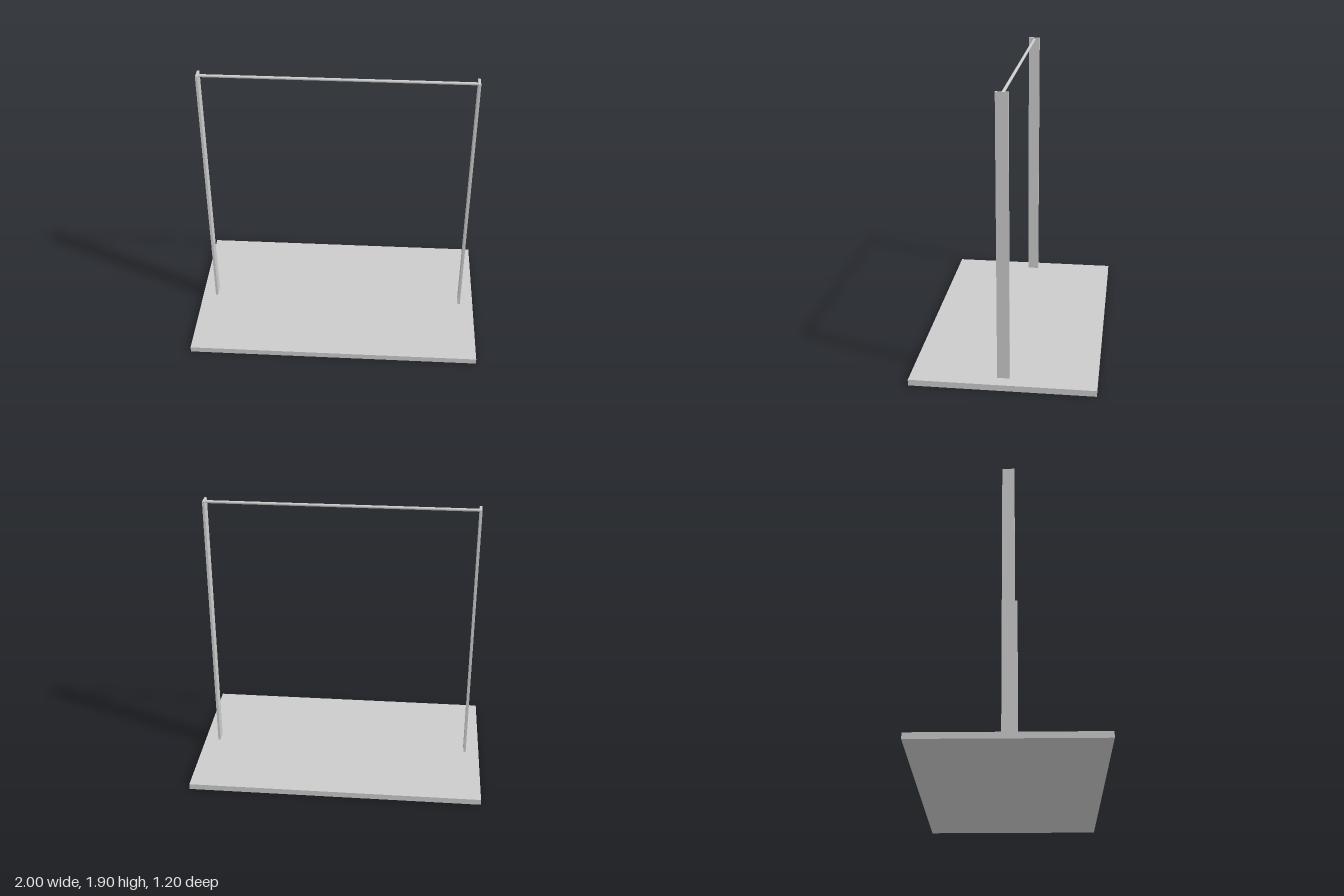
import * as THREE from 'three';

export function createModel() {
  const group = new THREE.Group();
  const material = new THREE.MeshStandardMaterial({ color: 0xcccccc });

  const add = (name, geometry, x, y, z) => {
    const mesh = new THREE.Mesh(geometry, material);
    mesh.name = name;
    mesh.position.set(x, y, z);
    group.add(mesh);
    return mesh;
  };

  // Base slab
  add('base', new THREE.BoxGeometry(2, 0.04, 1.2), 0, 0.02, 0);

  // Flat upright posts, one at each end
  for (const [name, side] of [['leftPost', 1], ['rightPost', -1]]) {
    add(name, new THREE.BoxGeometry(0.016, 1.86, 0.08), side * 0.9, 0.97, 0);
  }

  // Thin round rail between the post tops
  const rail = add('rail', new THREE.CylinderGeometry(0.01, 0.01, 1.79, 16), 0, 1.885, 0);
  rail.rotation.z = Math.PI / 2;

  return group;
}
